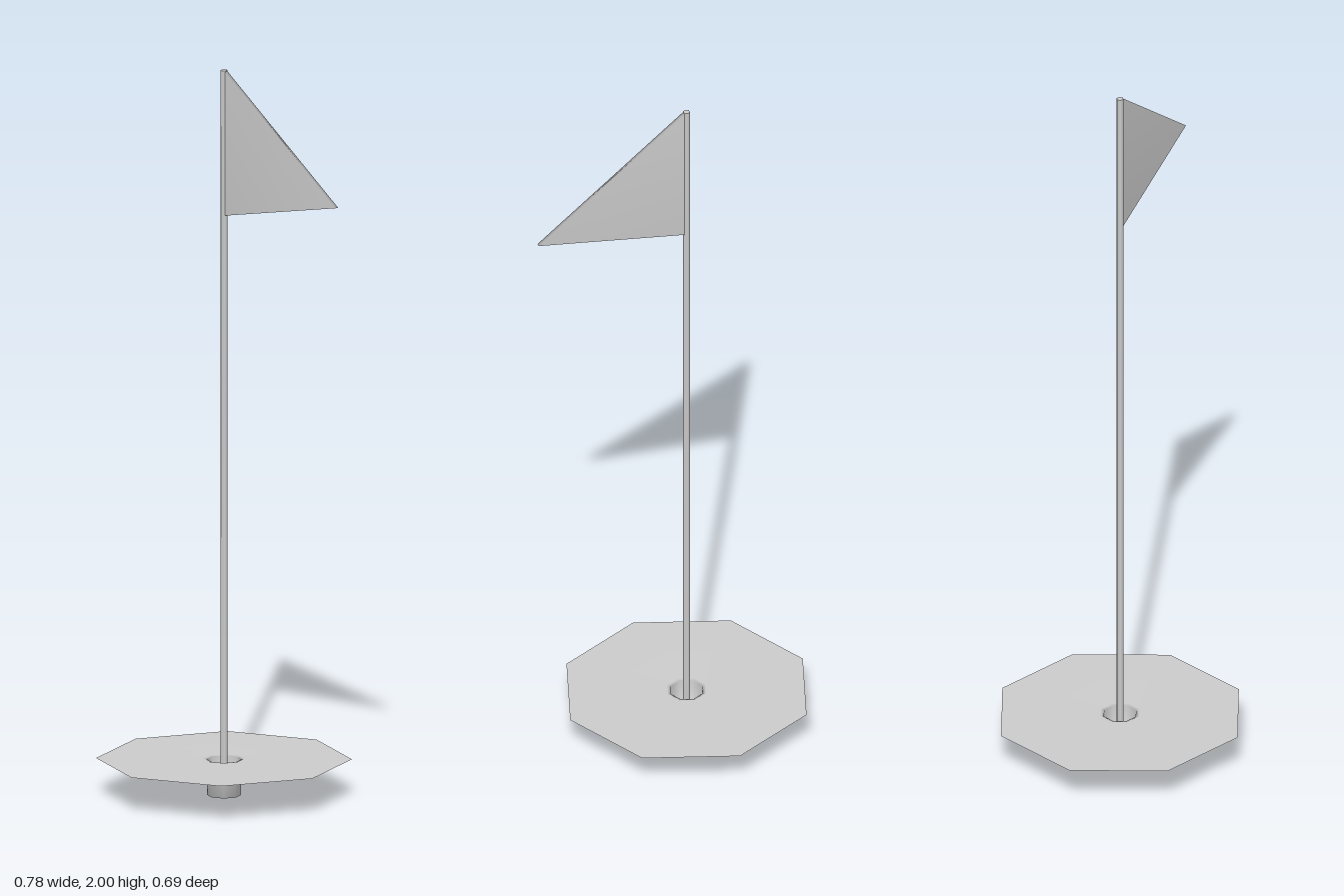
import * as THREE from 'three';
import { mergeVertices } from 'three/addons/utils/BufferGeometryUtils.js';

const AXIS_X = -0.05; // shared axis of pole, cup and green

export function createModel() {
  const group = new THREE.Group();
  const add = (name, geometry, options = {}) => {
    const material = new THREE.MeshStandardMaterial({ color: 0xcccccc, ...options });
    const mesh = new THREE.Mesh(geometry, material);
    mesh.name = name;
    group.add(mesh);
    return mesh;
  };

  // Thin octagonal green that drops into a closed cup, one continuous skin
  const profile = [[0.345, 0.1], [0.056, 0.1], [0.046, 0.098], [0.046, 0], [0, 0]]
    .map(([r, y]) => new THREE.Vector2(r, y));
  const green = add('greenWithCup', new THREE.LatheGeometry(profile, 8), { side: THREE.DoubleSide });
  green.position.x = AXIS_X;

  // Slim six-sided pole standing on the cup floor
  const pole = add('pole', new THREE.CylinderGeometry(0.01, 0.01, 1.998, 6));
  pole.position.set(AXIS_X, 1.001, 0);

  // Triangular pennant with softened normals
  const outline = new THREE.Shape([[-0.045, 1.6], [0.39, 1.69], [-0.045, 2]]
    .map(([x, y]) => new THREE.Vector2(x, y)));
  let flag = new THREE.ExtrudeGeometry(outline, { depth: 0.01, bevelEnabled: false });
  flag.translate(0, 0, -0.005);
  flag.deleteAttribute('normal');
  flag.deleteAttribute('uv');
  flag = mergeVertices(flag);
  flag.computeVertexNormals();
  add('flag', flag);

  return group;
}
